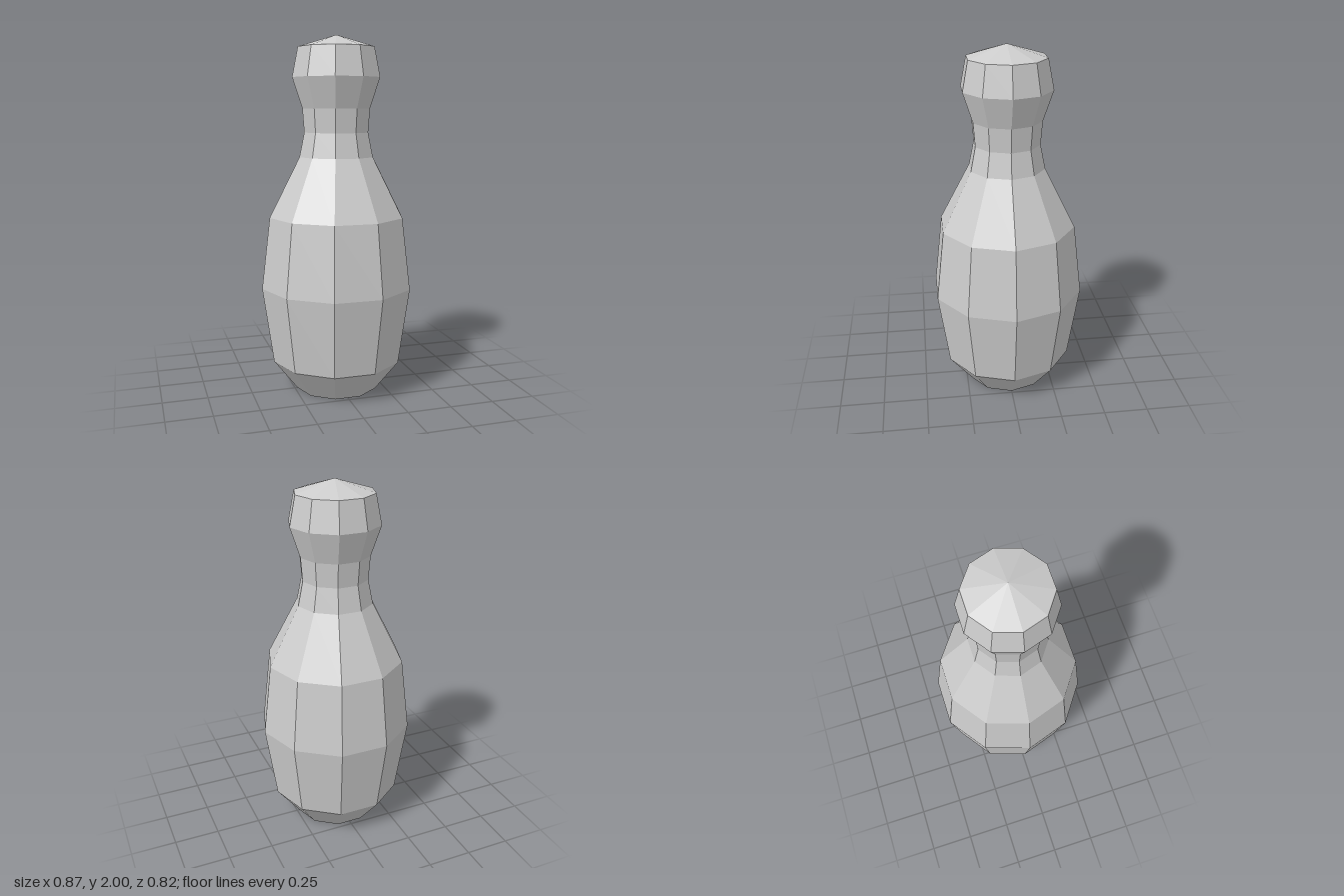
import * as THREE from 'three';

// Ten-sided pin turned from a single profile, base to crown.
export function createModel() {
  const group = new THREE.Group();
  group.name = 'bowlingPin';

  const paleGrey = new THREE.MeshStandardMaterial({ color: 0xcccccc, flatShading: true });
  paleGrey.name = 'paleGrey';

  // [radius, height]
  const profile = [
    [0, 0], [0.235, 0],             // base
    [0.37, 0.173], [0.433, 0.603],  // belly
    [0.385, 1.003], [0.213, 1.335], // shoulder
    [0.185, 1.47], [0.195, 1.602],  // neck
    [0.251, 1.77], [0.218, 1.933],  // head
    [0, 2],                         // crown
  ].map(([r, y]) => new THREE.Vector2(r, y));

  // Start a quarter turn round so corners point along +x and -x.
  const body = new THREE.Mesh(new THREE.LatheGeometry(profile, 10, Math.PI / 2), paleGrey);
  body.name = 'pinBody';
  group.add(body);
  return group;
}
